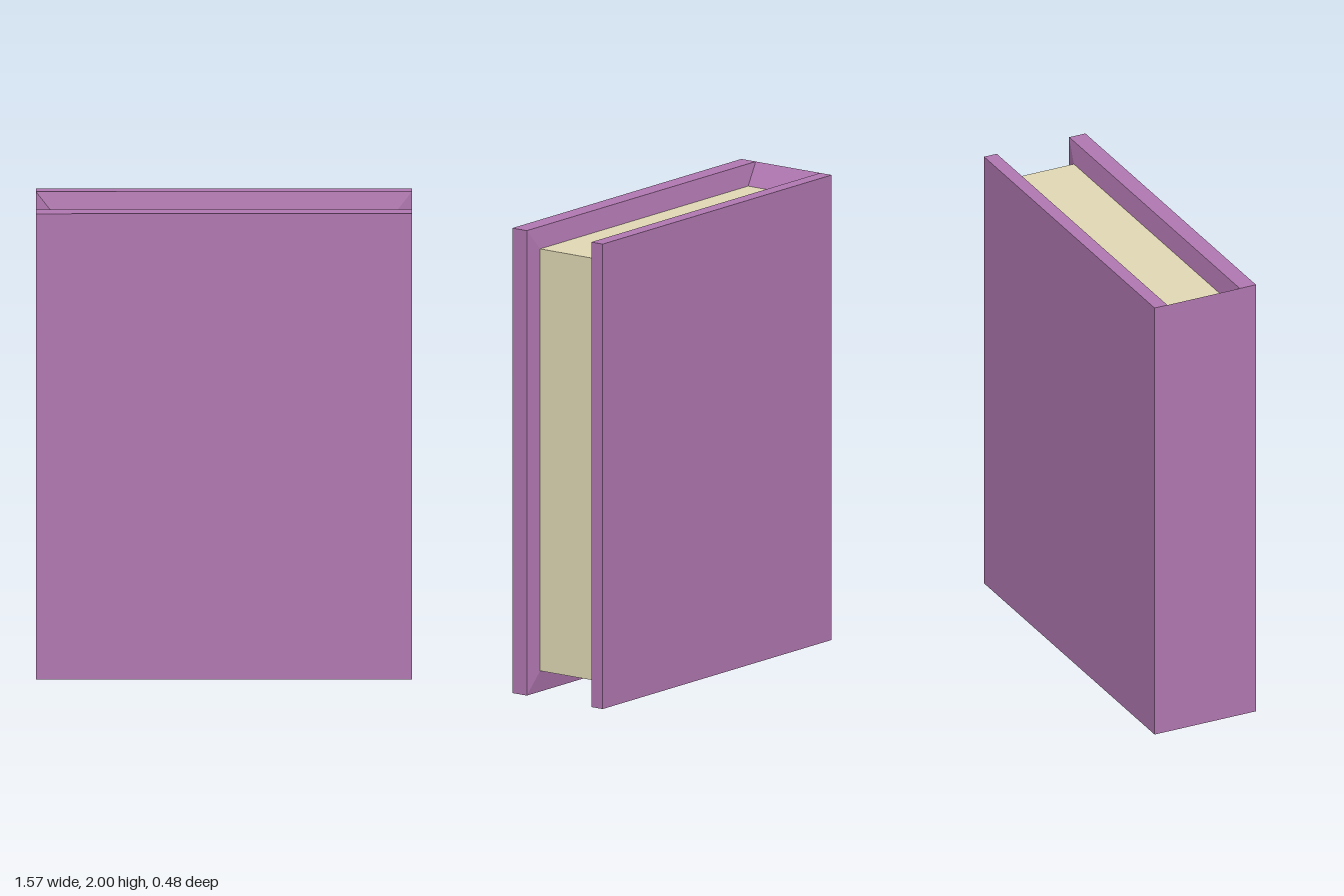
import * as THREE from 'three';

// Outer corners of the cover and inset corners where it meets the pages
const X = 0.787, TOP = 2;
const PX = 0.715, P_LOW = 0.095, P_HIGH = 1.91;

// Stations round the open edges: spine top, fore top, fore bottom, spine bottom
const OUTER = [[-X, TOP], [X, TOP], [X, 0], [-X, 0]];
const INNER = [[-PX, P_HIGH], [PX, P_HIGH], [PX, P_LOW], [-PX, P_LOW]];

// Cross-section through the thickness, back board to front board
const Z = [-0.24, -0.18, -0.165, 0.145, 0.16, 0.236];

function coverGeometry() {
  const positions = [];
  const quad = (a, b, c, d) => positions.push(...a, ...b, ...c, ...a, ...c, ...d);
  const point = (station, j) => {
    const [x, y] = (j === 2 || j === 3 ? INNER : OUTER)[station];
    return [x, y, Z[j]];
  };

  // Board edges and their sloping inner faces, swept round the open sides
  for (let i = 0; i < 3; i++) {
    for (const j of [0, 1, 3, 4]) {
      quad(point(i, j), point(i, j + 1), point(i + 1, j + 1), point(i + 1, j));
    }
  }

  // Front board, back board and spine
  quad(point(0, 5), point(3, 5), point(2, 5), point(1, 5));
  quad(point(0, 0), point(1, 0), point(2, 0), point(3, 0));
  quad(point(0, 0), point(3, 0), point(3, 5), point(0, 5));

  // Slopes inside the spine at head and foot
  quad(point(0, 1), point(0, 4), point(0, 3), point(0, 2));
  quad(point(3, 2), point(3, 3), point(3, 4), point(3, 1));

  const geometry = new THREE.BufferGeometry();
  geometry.setAttribute('position', new THREE.Float32BufferAttribute(positions, 3));
  geometry.computeVertexNormals();
  return geometry;
}

export function createModel() {
  const book = new THREE.Group();
  book.name = 'book';

  const cover = new THREE.Mesh(
    coverGeometry(),
    new THREE.MeshStandardMaterial({ color: 0xb077b0, flatShading: true })
  );
  cover.name = 'cover';

  // Page block filling the cover
  const pages = new THREE.Mesh(
    new THREE.BoxGeometry(2 * PX, P_HIGH - P_LOW, Z[3] - Z[2]),
    new THREE.MeshStandardMaterial({ color: 0xe0d8b4, flatShading: true })
  );
  pages.name = 'pages';
  pages.position.set(0, (P_HIGH + P_LOW) / 2, (Z[2] + Z[3]) / 2);

  book.add(cover, pages);
  return book;
}
